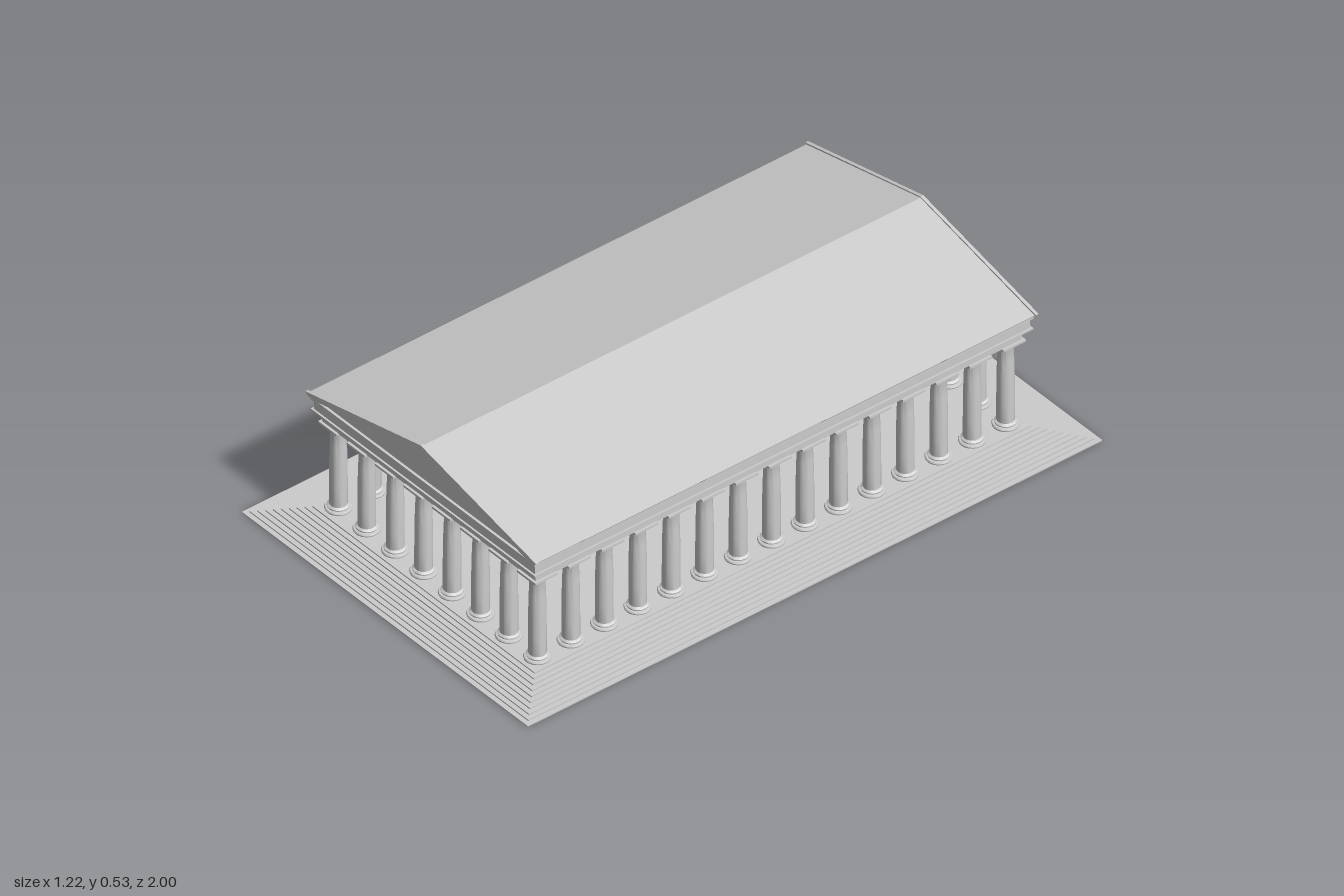
import * as THREE from 'three';
import { toCreasedNormals } from 'three/addons/utils/BufferGeometryUtils.js';

const grey = new THREE.MeshStandardMaterial({ color: 0xcccccc });
const greyDouble = new THREE.MeshStandardMaterial({ color: 0xcccccc, side: THREE.DoubleSide });
const LONG = 0.39; // how much further every layer reaches in z than in x

function add(parent, name, geometry, material = grey) {
  const mesh = new THREE.Mesh(geometry, material);
  mesh.name = name;
  parent.add(mesh);
  return mesh;
}

// Rectangular layer with half width w between two heights
function layer(parent, name, w, y0, y1) {
  const mesh = add(parent, name, new THREE.BoxGeometry(2 * w, y1 - y0, 2 * (w + LONG)));
  mesh.position.y = (y0 + y1) / 2;
}

// Hollow flight of steps around the whole platform
function stepsGeometry(count, outer, inner, top) {
  const points = [];
  for (let i = 0; i < count; i++) {
    const r = (outer + (inner - outer) * (i / (count - 1))) * Math.SQRT2;
    points.push(new THREE.Vector2(r, (top * i) / count), new THREE.Vector2(r, (top * (i + 1)) / count));
  }
  const geo = new THREE.LatheGeometry(points, 4, Math.PI / 4).toNonIndexed();
  const p = geo.attributes.position;
  for (let i = 0; i < p.count; i++) p.setZ(i, p.getZ(i) + Math.sign(p.getZ(i)) * LONG);
  geo.computeVertexNormals();
  return geo;
}

// Column with moulded base, swelling shaft and flared capital
function columnGeometry() {
  const profile = [
    [0, 0], [0.038, 0], [0.039, 0.004], [0.037, 0.008], [0.031, 0.009], [0.032, 0.013],
    [0.029, 0.016], [0.0255, 0.018], [0.0255, 0.08], [0.025, 0.16], [0.0235, 0.22],
    [0.0215, 0.268], [0.024, 0.272], [0.024, 0.275], [0.029, 0.28], [0.035, 0.284], [0.035, 0.286],
  ];
  return toCreasedNormals(
    new THREE.LatheGeometry(profile.map(([r, y]) => new THREE.Vector2(r, y)), 20), 0.6);
}

// Gable-shaped band: eave half width w, eave and apex heights, vertical thickness t
function gable(w, eave, apex, t, depth) {
  const cut = w - 0.012;
  const shape = new THREE.Shape([
    [w, eave], [0, apex], [-w, eave], [-cut, eave - t], [0, apex - t], [cut, eave - t],
  ].map(([x, y]) => new THREE.Vector2(x, y)));
  return new THREE.ExtrudeGeometry(shape, { depth, bevelEnabled: false }).translate(0, 0, -depth / 2);
}

export function createModel() {
  const temple = new THREE.Group();
  temple.name = 'temple';

  // Stepped platform
  const platform = new THREE.Group();
  platform.name = 'platform';
  temple.add(platform);
  add(platform, 'steps', stepsGeometry(10, 0.61, 0.475, 0.039), greyDouble);
  layer(platform, 'floor', 0.475, 0.035, 0.039);

  // Ring of columns, 8 across and 15 along
  const columns = new THREE.Group();
  columns.name = 'colonnade';
  temple.add(columns);
  const shaft = columnGeometry();
  const slab = new THREE.BoxGeometry(0.078, 0.007, 0.078);
  for (let i = 0; i < 8; i++) {
    for (let j = 0; j < 15; j++) {
      if (i > 0 && i < 7 && j > 0 && j < 14) continue;
      const column = new THREE.Group();
      column.name = 'column';
      column.position.set(-0.425 + (0.85 * i) / 7, 0.039, -0.815 + (1.63 * j) / 14);
      add(column, 'columnShaft', shaft);
      add(column, 'capitalSlab', slab).position.y = 0.2875;
      columns.add(column);
    }
  }

  // Beams carried by the columns
  const beams = new THREE.Group();
  beams.name = 'entablature';
  temple.add(beams);
  layer(beams, 'architrave', 0.456, 0.328, 0.366);
  layer(beams, 'architraveBand', 0.478, 0.366, 0.371);
  layer(beams, 'frieze', 0.472, 0.371, 0.402);
  layer(beams, 'cornice', 0.478, 0.402, 0.409);

  // Roof, gable walls and the raised bands along the gable edges
  const roof = new THREE.Group();
  roof.name = 'roof';
  temple.add(roof);
  const wall = new THREE.Shape([
    new THREE.Vector2(-0.472, 0.409), new THREE.Vector2(0.472, 0.409), new THREE.Vector2(0, 0.518),
  ]);
  add(roof, 'gableWalls',
    new THREE.ExtrudeGeometry(wall, { depth: 1.72, bevelEnabled: false }).translate(0, 0, -0.86));
  add(roof, 'roofSlopes', gable(0.488, 0.42, 0.53, 0.013, 1.735));
  for (const s of [1, -1]) {
    add(roof, 'gableEdge', gable(0.493, 0.424, 0.534, 0.01, 0.01)).position.z = s * 0.87;
    add(roof, 'gableInnerEdge', gable(0.484, 0.416, 0.524, 0.01, 0.01)).position.z = s * 0.866;
  }
  return temple;
}
